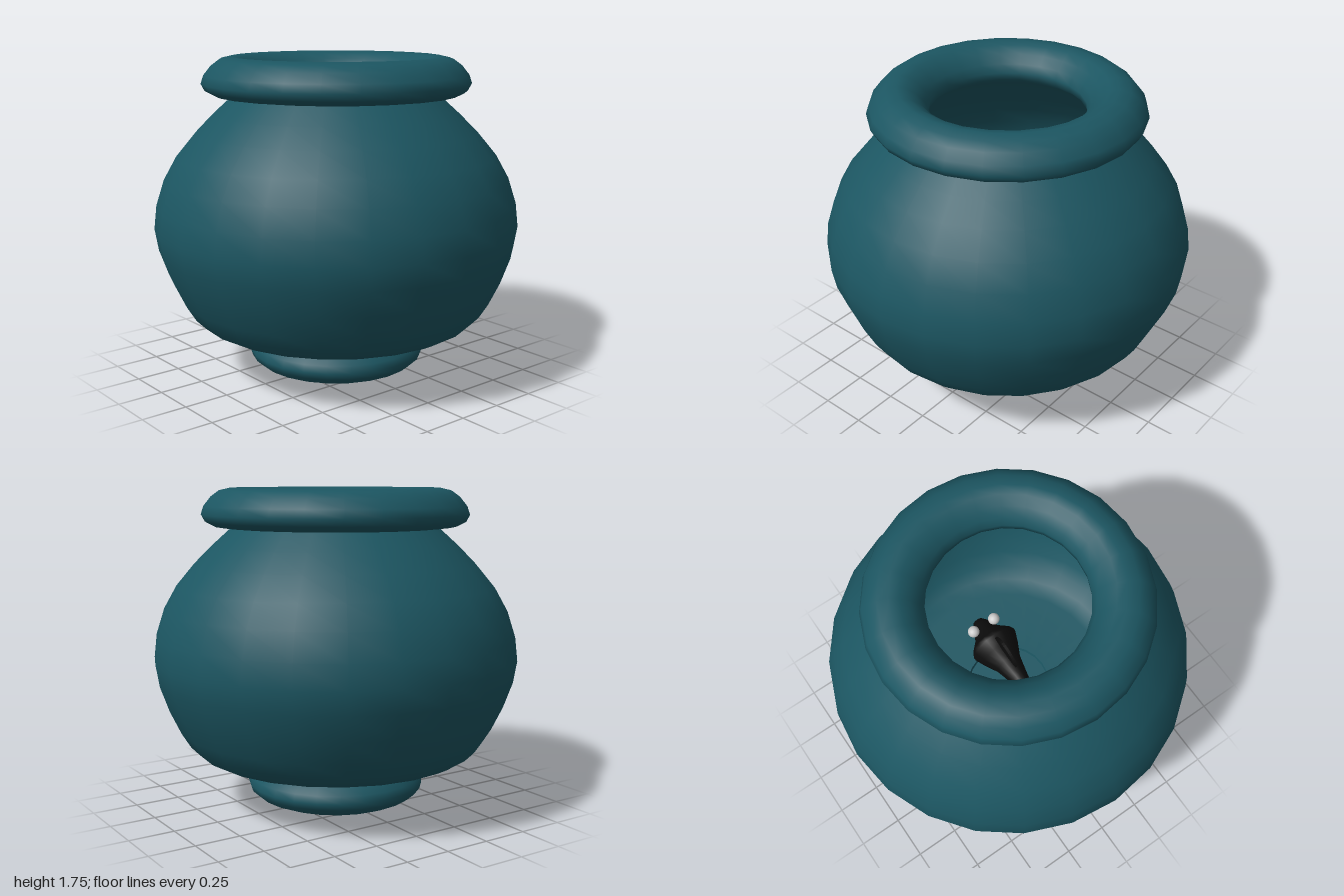
import * as THREE from 'three';

const material = (color) => new THREE.MeshStandardMaterial({ color, side: THREE.DoubleSide });
const teal = material(0x1c5662);
const black = material(0x0c0c0c);
const white = material(0xd8d8d8);
const grey = material(0xcccccc);

function add(parent, name, geometry, mat, x = 0, y = 0, z = 0) {
  const mesh = new THREE.Mesh(geometry, mat);
  mesh.name = name;
  mesh.position.set(x, y, z);
  parent.add(mesh);
  return mesh;
}

// Profiles are lists of [radius, height]
const turned = (profile, sides = 24) =>
  new THREE.LatheGeometry(profile.map(([r, h]) => new THREE.Vector2(r, h)), sides);

// A body slice turned around z, from [half width, z] stations, made taller than wide
const bodySlice = (profile, tall) => turned(profile, 16).rotateX(Math.PI / 2).scale(1, tall, 1);

// A thin upright fin drawn in the (z, y) plane
function fin(points) {
  const shape = new THREE.Shape();
  shape.moveTo(...points[0]);
  shape.splineThru(points.slice(1).map((p) => new THREE.Vector2(...p)));
  return new THREE.ExtrudeGeometry(shape, { depth: 0.016, bevelEnabled: false, curveSegments: 5 })
    .translate(0, 0, -0.008).rotateY(-Math.PI / 2);
}

function makeFish(name, slices, tall, finMat, tailZ, eye) {
  const fish = new THREE.Group();
  fish.name = name;
  slices.forEach(([mat, profile]) => add(fish, 'body', bodySlice(profile, tall), mat));
  add(fish, 'tailFin', fin([[0, 0], [0.08, 0.08], [0.15, 0.13], [0.11, 0], [0.15, -0.13], [0.08, -0.08], [0, 0]]), finMat, 0, 0, tailZ);
  add(fish, 'dorsalFin', fin([[-0.1, 0], [-0.02, 0.08], [0.08, 0.06], [0.12, 0], [-0.1, 0]]), finMat, 0, 0.12, -0.05);
  for (const side of [-1, 1]) {
    add(fish, 'eye', new THREE.SphereGeometry(eye.r, 14, 10), grey, side * eye.x, eye.y, eye.z);
  }
  return fish;
}

export function createModel() {
  const model = new THREE.Group();
  model.name = 'fishBowl';

  // Foot
  add(model, 'foot', turned([[0, 0], [0.2, 0.002], [0.3, 0.008], [0.38, 0.025], [0.44, 0.05], [0.48, 0.085],
    [0.49, 0.12], [0.48, 0.16], [0.44, 0.2], [0.39, 0.235], [0.34, 0.265], [0.33, 0.28]]), teal);

  // Outside of the bowl
  add(model, 'bowl', turned([[0.25, 0.27], [0.58, 0.27], [0.65, 0.274], [0.72, 0.288], [0.77, 0.315], [0.82, 0.365],
    [0.87, 0.445], [0.93, 0.57], [0.98, 0.71], [1, 0.83], [0.985, 0.96], [0.94, 1.1], [0.87, 1.225],
    [0.77, 1.345], [0.67, 1.445], [0.57, 1.535], [0.54, 1.56]]), teal);

  // Inside wall, running down to the floor
  add(model, 'bowlInside', turned([[0.46, 1.56], [0.54, 1.51], [0.63, 1.42], [0.73, 1.32], [0.83, 1.2], [0.9, 1.08],
    [0.945, 0.95], [0.96, 0.83], [0.94, 0.71], [0.89, 0.58], [0.83, 0.46], [0.77, 0.38], [0.7, 0.33],
    [0.6, 0.31], [0.25, 0.308]]), teal);
  add(model, 'floorStep', turned([[0.25, 0.308], [0.245, 0.285]]), teal);
  add(model, 'floor', turned([[0.245, 0.285], [0, 0.285]]), teal);

  // Rolled rim
  add(model, 'rim', turned([[0.46, 1.545], [0.6, 1.54], [0.66, 1.547], [0.71, 1.572], [0.73, 1.61], [0.715, 1.655],
    [0.675, 1.705], [0.63, 1.738], [0.57, 1.752], [0.52, 1.742], [0.47, 1.71], [0.43, 1.665],
    [0.41, 1.62], [0.415, 1.58], [0.46, 1.545]]), teal);

  // Dark fish in the middle, nose to the back
  const darkFish = makeFish('darkFish', [[black, [[0, -0.325], [0.03, -0.315], [0.055, -0.28], [0.08, -0.22],
    [0.13, -0.17], [0.145, -0.14], [0.12, -0.08], [0.08, 0], [0.055, 0.1], [0.036, 0.2], [0.03, 0.27],
    [0.02, 0.3], [0, 0.41]]]], 1.1, black, 0.27, { r: 0.034, x: 0.07, y: 0.075, z: -0.25 });
  darkFish.position.y = 0.7;
  model.add(darkFish);

  // Banded fish beside it
  const bandedFish = makeFish('bandedFish', [
    [white, [[0, -0.24], [0.04, -0.22], [0.09, -0.17], [0.12, -0.12]]],
    [black, [[0.12, -0.12], [0.135, -0.08], [0.135, -0.02], [0.125, 0.02]]],
    [white, [[0.125, 0.02], [0.105, 0.08], [0.085, 0.12]]],
    [black, [[0.085, 0.12], [0.055, 0.18], [0.03, 0.24], [0, 0.27]]],
  ], 1.3, black, 0.22, { r: 0.025, x: 0.075, y: 0.06, z: -0.18 });
  bandedFish.position.set(-0.4, 0.65, 0);
  bandedFish.rotation.y = -0.2;
  model.add(bandedFish);

  return model;
}
